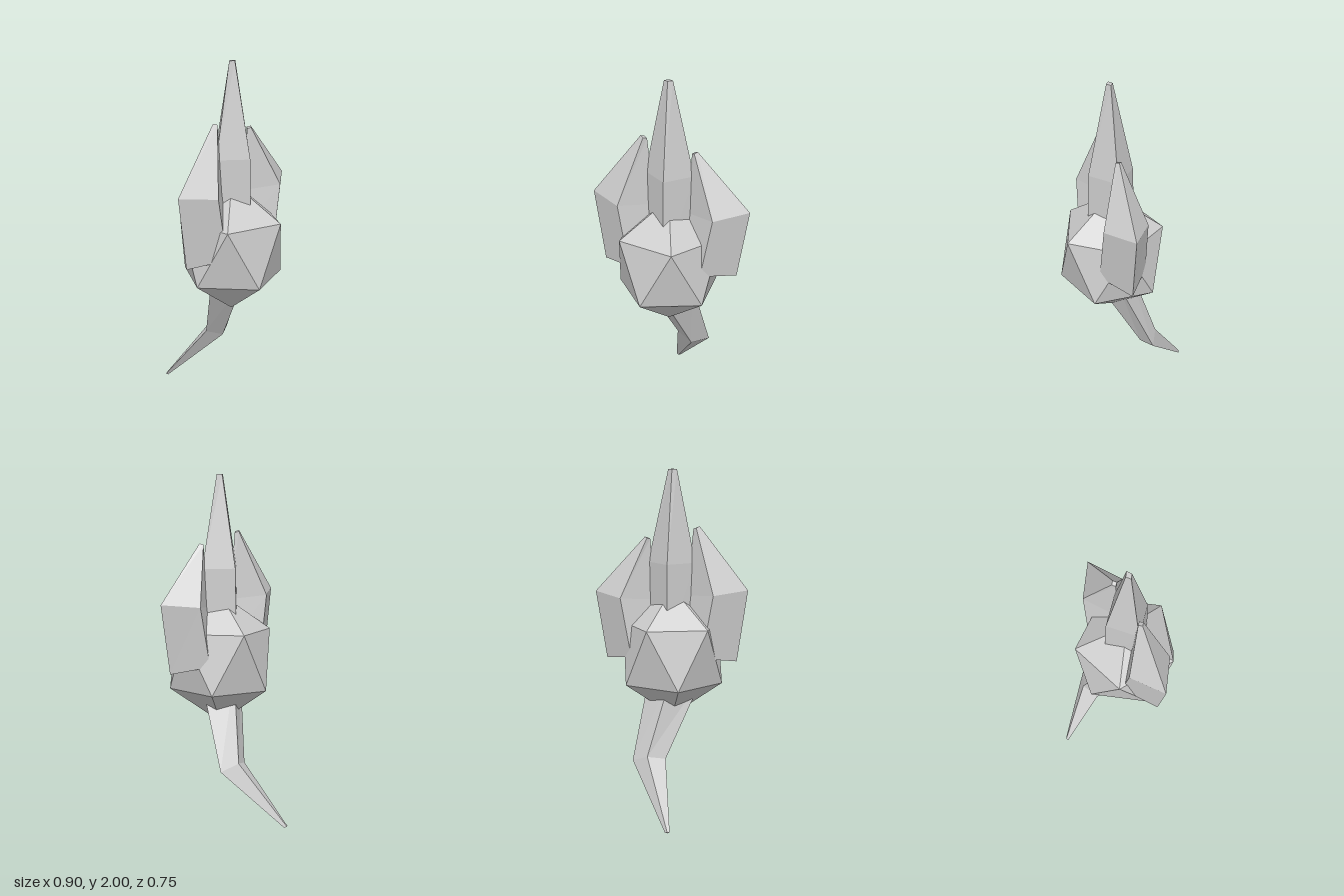
import * as THREE from 'three';
import { ConvexGeometry } from 'three/addons/geometries/ConvexGeometry.js';

const CX = -0.01, CZ = 0.095;

// Diamond ring: centre, half-width vector u (x, y), half-depth vector v (y, z)
function ring(cx, cy, cz, ux, uy, vy, vz) {
  const c = new THREE.Vector3(cx, cy, cz);
  const u = new THREE.Vector3(ux, uy, 0);
  const v = new THREE.Vector3(0, vy, vz);
  return [c.clone().add(u), c.clone().sub(v), c.clone().sub(u), c.clone().add(v)];
}

// Closed faceted loft through diamond rings listed from bottom to top
function loft(rings) {
  const pos = [];
  const quad = (a, b, c, d) => {
    for (const p of [a, b, c, a, c, d]) pos.push(p.x, p.y, p.z);
  };
  for (let i = 0; i < rings.length - 1; i++) {
    for (let j = 0; j < 4; j++) {
      const k = (j + 1) % 4;
      quad(rings[i][j], rings[i][k], rings[i + 1][k], rings[i + 1][j]);
    }
  }
  const [a, b, c, d] = rings[0];
  quad(d, c, b, a);
  quad(...rings[rings.length - 1]);
  const g = new THREE.BufferGeometry();
  g.setAttribute('position', new THREE.Float32BufferAttribute(pos, 3));
  g.computeVertexNormals();
  return g;
}

export function createModel() {
  const group = new THREE.Group();
  const grey = new THREE.MeshStandardMaterial({ color: 0xcccccc, flatShading: true });
  grey.name = 'light grey';
  const add = (name, geometry) => {
    const mesh = new THREE.Mesh(geometry, grey);
    mesh.name = name;
    group.add(mesh);
  };

  // Bulb: icosahedron stretched upwards
  const points = [new THREE.Vector3(CX, 1.32, CZ), new THREE.Vector3(CX, 0.56, CZ)];
  for (let i = 0; i < 5; i++) {
    const a = (i * Math.PI * 2) / 5;
    const x = 0.295 * Math.cos(a), z = 0.295 * Math.sin(a);
    points.push(new THREE.Vector3(CX + x, 1.11, CZ + z));
    points.push(new THREE.Vector3(CX - x, 0.77, CZ - z));
  }
  add('bulb', new ConvexGeometry(points));

  // Tall centre leaf
  add('centreLeaf', loft([
    ring(-0.005, 0.97, CZ, 0.148, 0, 0, 0.14),
    ring(-0.005, 1.47, CZ, 0.138, 0, 0, 0.128),
    ring(CX, 2.0, CZ, 0.025, 0, 0, 0.018),
  ]));

  // Side leaves, bent in at the tip and the foot
  add('leftLeaf', loft([
    ring(0.205, 0.93, CZ, 0.18, -0.035, 0, 0.135),
    ring(0.27, 1.27, CZ, 0.18, 0.02, 0, 0.127),
    ring(0.137, 1.608, CZ, 0.016, 0.006, 0, 0.016),
  ]));
  add('rightLeaf', loft([
    ring(-0.207, 0.938, CZ, 0.183, 0.035, 0, 0.135),
    ring(-0.27, 1.3, CZ, 0.18, -0.02, 0, 0.127),
    ring(-0.15, 1.672, CZ, 0.018, -0.007, 0, 0.016),
  ]));

  // Bent root tapering backwards to a point
  add('root', loft([
    ring(-0.077, 0.006, -0.368, 0.013, -0.003, -0.005, 0.006),
    ring(0.087, 0.34, -0.102, 0.098, -0.01, -0.03, 0.048),
    ring(-0.03, 0.8, 0.1, 0.16, 0, -0.05, 0.1),
  ]));

  return group;
}
